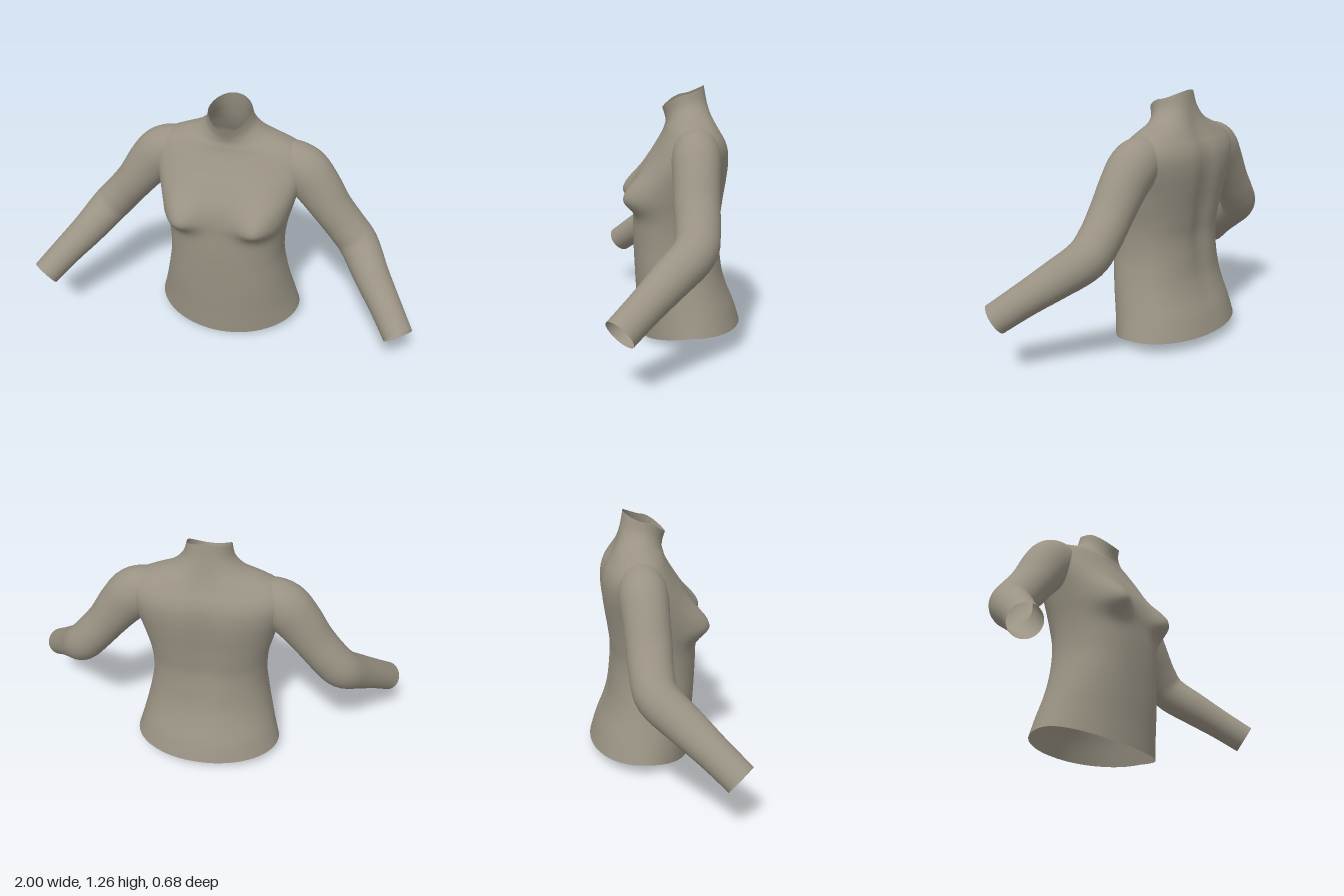
import * as THREE from 'three';

const cloth = new THREE.MeshStandardMaterial({ color: 0x9a9384, side: THREE.DoubleSide });
cloth.name = 'warm grey cloth';

// Smoothly interpolates rows of numbers, t from 0 to 1
function sampleRows(rows, t) {
  const f = t * (rows.length - 1);
  const i = Math.min(Math.floor(f), rows.length - 2);
  const k = f - i;
  const at = (j) => rows[Math.max(0, Math.min(rows.length - 1, j))];
  return rows[0].map((_, c) => {
    const [a, b, d, e] = [at(i - 1)[c], at(i)[c], at(i + 1)[c], at(i + 2)[c]];
    const m0 = (d - a) / 2, m1 = (e - b) / 2;
    return b + k * (m0 + k * (3 * (d - b) - 2 * m0 - m1 + k * (2 * (b - d) + m0 + m1)));
  });
}

// Skins closed rings of points into an open tube
function loft(name, rings, flip) {
  const n = rings[0].length;
  const index = [];
  for (let r = 0; r < rings.length - 1; r++) {
    for (let i = 0; i < n; i++) {
      const a = r * n + i, b = r * n + (i + 1) % n, c = a + n, d = b + n;
      if (flip) index.push(a, b, c, b, d, c);
      else index.push(a, c, b, b, c, d);
    }
  }
  const geometry = new THREE.BufferGeometry().setFromPoints(rings.flat());
  geometry.setIndex(index);
  geometry.computeVertexNormals();
  const mesh = new THREE.Mesh(geometry, cloth);
  mesh.name = name;
  return mesh;
}

// Body sections: y front, y side, y back, half width, z front, z back, squareness
const bodySections = [
  [0.005, 0.065, 0.062, 0.385, 0.18, -0.342, 1],
  [0.13, 0.16, 0.16, 0.358, 0.187, -0.312, 0.95],
  [0.24, 0.25, 0.25, 0.335, 0.195, -0.275, 0.9],
  [0.34, 0.34, 0.34, 0.315, 0.2, -0.248, 0.85],
  [0.45, 0.45, 0.45, 0.297, 0.205, -0.235, 0.82],
  [0.55, 0.55, 0.55, 0.297, 0.207, -0.23, 0.8],
  [0.64, 0.64, 0.64, 0.308, 0.205, -0.24, 0.78],
  [0.72, 0.72, 0.72, 0.327, 0.203, -0.25, 0.77],
  [0.8, 0.8, 0.8, 0.347, 0.187, -0.262, 0.77],
  [0.88, 0.88, 0.88, 0.37, 0.145, -0.27, 0.78],
  [0.95, 0.95, 0.95, 0.385, 0.1, -0.267, 0.8],
  [1.0, 1.005, 1.0, 0.38, 0.07, -0.252, 0.84],
  [1.035, 1.05, 1.04, 0.34, 0.052, -0.23, 0.88],
  [1.06, 1.085, 1.08, 0.265, 0.044, -0.21, 0.92],
  [1.085, 1.118, 1.125, 0.18, 0.038, -0.192, 0.97],
  [1.115, 1.165, 1.19, 0.126, 0.042, -0.173, 1],
  [1.155, 1.22, 1.262, 0.108, 0.055, -0.158, 1],
];

function bodyRing(t, sides = 72) {
  const [yF, yS, yB, w, zF, zB, e] = sampleRows(bodySections, t);
  const power = (v) => Math.sign(v) * Math.abs(v) ** e;
  return Array.from({ length: sides }, (_, i) => {
    const a = (i / sides) * Math.PI * 2;
    const s = Math.sin(a);
    const x = w * power(Math.cos(a));
    const y = yS + ((s > 0 ? yF : yB) - yS) * Math.abs(s) ** 1.5;
    let z = (zF + zB) / 2 + ((zF - zB) / 2) * power(s);
    if (s > 0) {
      // Chest fullness, firmer on its lower edge
      const dx = (Math.abs(x) - 0.2) / 0.095;
      const dy = (y - 0.715) / (y > 0.715 ? 0.1 : 0.065);
      z += 0.078 * Math.exp(-dx * dx - dy * dy) * Math.min(1, s * 2);
    } else {
      // Spine groove
      const dy = (y - 0.75) / 0.4;
      z += 0.022 * Math.exp(-((x / 0.06) ** 2) - dy * dy);
    }
    return new THREE.Vector3(x, y, z);
  });
}

// Sleeve stations: centre x, y, z, radius across, radius front to back
const sleeveSections = [
  [0.2, 0.985, -0.09, 0.075, 0.08],
  [0.28, 0.965, -0.09, 0.11, 0.105],
  [0.365, 0.925, -0.085, 0.126, 0.115],
  [0.44, 0.845, -0.08, 0.118, 0.11],
  [0.52, 0.738, -0.075, 0.103, 0.106],
  [0.6, 0.64, -0.072, 0.1, 0.102],
  [0.675, 0.555, -0.05, 0.1, 0.1],
  [0.76, 0.46, 0.06, 0.089, 0.092],
  [0.85, 0.37, 0.17, 0.079, 0.081],
  [0.935, 0.28, 0.277, 0.073, 0.077],
];

function sleeveRing(t, mirror, sides = 32) {
  const [x, y, z, rv, ru] = sampleRows(sleeveSections, t);
  const before = new THREE.Vector3(...sampleRows(sleeveSections, Math.max(0, t - 0.02)));
  const after = new THREE.Vector3(...sampleRows(sleeveSections, Math.min(1, t + 0.02)));
  const along = after.sub(before).normalize();
  const v = new THREE.Vector3(0, 0, 1).cross(along).normalize();
  const u = along.clone().cross(v);
  return Array.from({ length: sides }, (_, i) => {
    const a = (i / sides) * Math.PI * 2;
    const p = new THREE.Vector3(x, y, z)
      .addScaledVector(v, rv * Math.cos(a))
      .addScaledVector(u, ru * Math.sin(a));
    p.x *= mirror;
    return p;
  });
}

export function createModel() {
  const model = new THREE.Group();
  model.name = 'longSleeveTop';

  // Body with collar and open hem
  const bodySteps = 80;
  model.add(loft('body', Array.from({ length: bodySteps + 1 }, (_, i) => bodyRing(i / bodySteps)), false));

  // Sleeves, bent at the elbow and open at the wrist
  const sleeveSteps = 45;
  for (const [name, mirror] of [['leftSleeve', 1], ['rightSleeve', -1]]) {
    const rings = Array.from({ length: sleeveSteps + 1 }, (_, i) => sleeveRing(i / sleeveSteps, mirror));
    model.add(loft(name, rings, mirror > 0));
  }
  return model;
}
